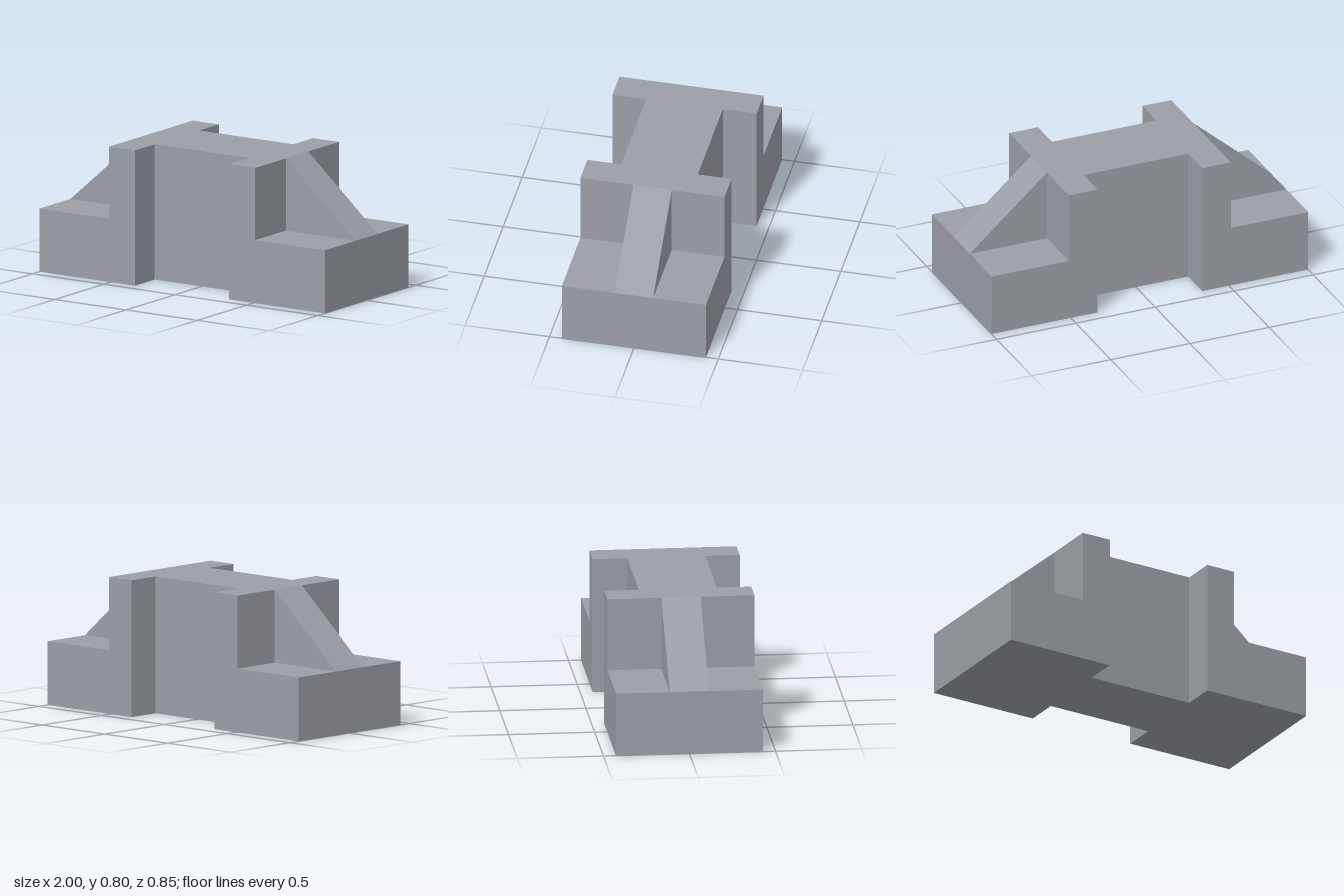
import * as THREE from 'three';

const HEIGHT = 0.8, STEP = 0.373;     // full height, ledge height
const WAIST_X = 0.33, WALL_X = 0.512; // waist half-length, outer face of the upright
const DEPTH = 0.854, WAIST_DEPTH = 0.454, RIB_DEPTH = 0.228;

export function createModel() {
  const model = new THREE.Group();
  model.name = 'bracketBlock';
  const material = new THREE.MeshStandardMaterial({ color: 0x9b9fa6, flatShading: true });

  // Extrudes an x-y outline along z, centred on z = 0
  function prism(name, points, depth) {
    const shape = new THREE.Shape(points.map(([x, y]) => new THREE.Vector2(x, y)));
    const geometry = new THREE.ExtrudeGeometry(shape, { depth, bevelEnabled: false });
    geometry.translate(0, 0, -depth / 2);
    const mesh = new THREE.Mesh(geometry, material);
    mesh.name = name;
    return mesh;
  }

  // Narrow waist joining the two ends
  const waist = new THREE.Mesh(new THREE.BoxGeometry(WAIST_X * 2, HEIGHT, WAIST_DEPTH), material);
  waist.name = 'waist';
  waist.position.y = HEIGHT / 2;
  model.add(waist);

  // Each end: an L-shaped block with an upright and a ledge, braced by a sloping rib
  for (const side of ['left', 'right']) {
    const end = new THREE.Group();
    end.name = side + 'End';
    end.add(
      prism(side + 'SteppedBlock', [
        [WAIST_X, 0], [1, 0], [1, STEP], [WALL_X, STEP], [WALL_X, HEIGHT], [WAIST_X, HEIGHT],
      ], DEPTH),
      prism(side + 'Rib', [[WALL_X, STEP], [1, STEP], [WALL_X, HEIGHT]], RIB_DEPTH),
    );
    if (side === 'right') end.rotation.y = Math.PI;
    model.add(end);
  }

  return model;
}
